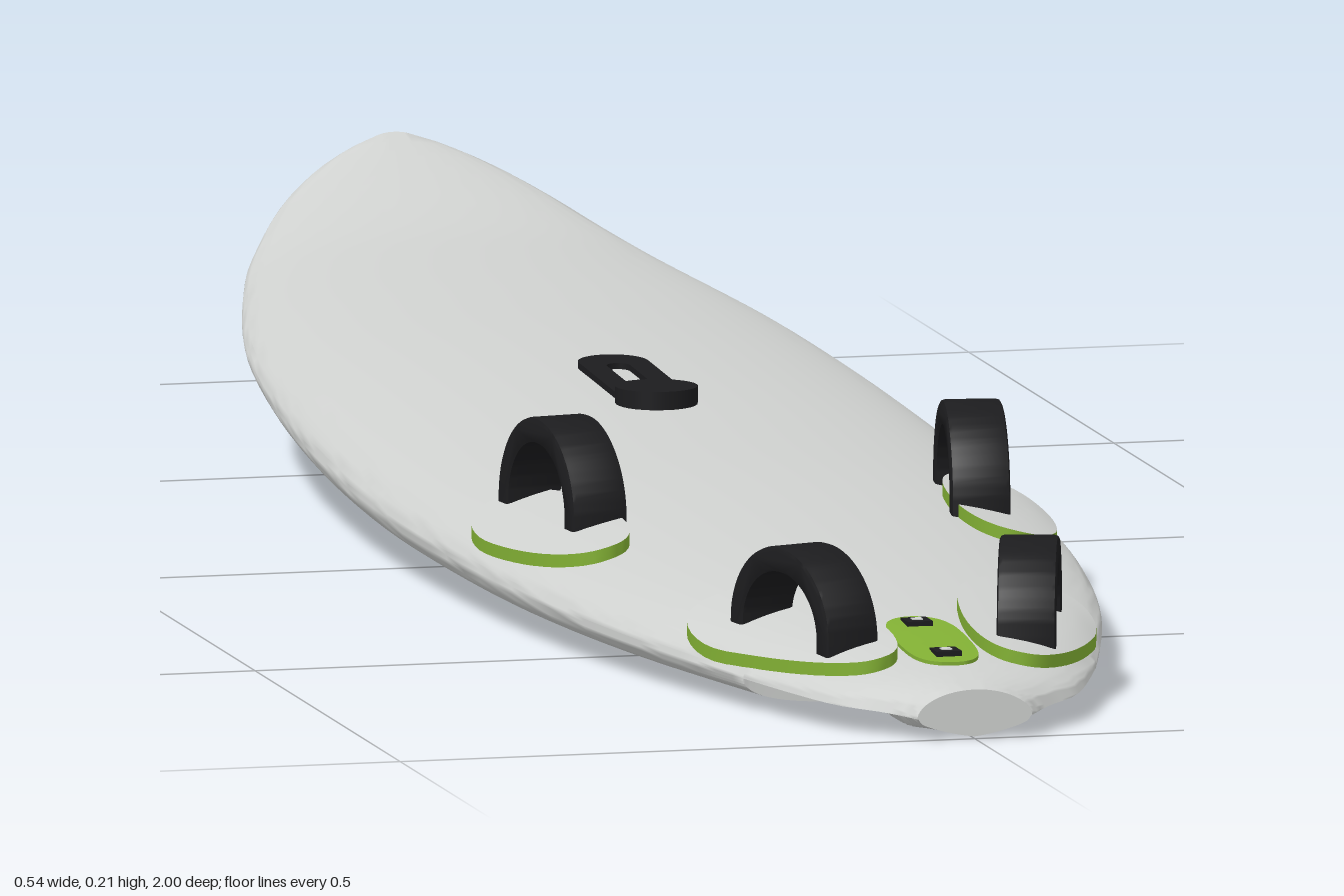
import * as THREE from 'three';
import { toCreasedNormals } from 'three/addons/utils/BufferGeometryUtils.js';

// Board stations: z, half width, deck centre height, bottom height
const STATIONS = [
  [-1, 0.02, 0.208, 0.196], [-0.99, 0.046, 0.204, 0.184], [-0.97, 0.077, 0.194, 0.17],
  [-0.93, 0.115, 0.178, 0.147], [-0.87, 0.15, 0.16, 0.122], [-0.8, 0.18, 0.148, 0.1],
  [-0.6, 0.231, 0.137, 0.064], [-0.4, 0.256, 0.13, 0.038], [-0.2, 0.268, 0.122, 0.02],
  [0, 0.271, 0.113, 0.01], [0.2, 0.263, 0.105, 0.005], [0.4, 0.245, 0.094, 0.003],
  [0.6, 0.211, 0.081, 0.003], [0.8, 0.157, 0.065, 0.003], [0.9, 0.121, 0.055, 0.003],
  [0.94, 0.1, 0.05, 0.003], [0.97, 0.072, 0.046, 0.003], [1, 0.05, 0.042, 0.002],
];
const CUT_Z = 0.81;

// Smooth interpolation of one station column
function sample(col, z) {
  const S = STATIONS, n = S.length;
  let i = 0;
  while (i < n - 2 && z > S[i + 1][0]) i++;
  const slope = (k) => {
    const a = S[Math.max(k - 1, 0)], b = S[Math.min(k + 1, n - 1)];
    return (b[col] - a[col]) / (b[0] - a[0]);
  };
  const d = S[i + 1][0] - S[i][0], t = THREE.MathUtils.clamp((z - S[i][0]) / d, 0, 1);
  const t2 = t * t, t3 = t2 * t;
  return (2 * t3 - 3 * t2 + 1) * S[i][col] + (t3 - 2 * t2 + t) * d * slope(i)
    + (3 * t2 - 2 * t3) * S[i + 1][col] + (t3 - t2) * d * slope(i + 1);
}

const railY = (z) => THREE.MathUtils.lerp(sample(3, z), sample(2, z), 0.41);

function deckY(x, z) {
  const u = Math.min(1, Math.abs(x) / sample(1, z)), m = railY(z);
  return m + (sample(2, z) - m) * Math.pow(1 - u * u, 0.55);
}

function bottomY(x, z) {
  const u = Math.min(1, Math.abs(x) / sample(1, z)), m = railY(z), b = sample(3, z);
  const p = THREE.MathUtils.lerp(6, 1.6, THREE.MathUtils.smoothstep(z, 0.92, 1));
  let y = m - (m - b - 0.004 * u) * Math.sqrt(1 - Math.pow(u, p));
  // tail cutaways either side of the fin box
  if (z > CUT_Z) y += 0.02 * THREE.MathUtils.smoothstep(Math.abs(x), 0.045, 0.065);
  return Math.min(y, m);
}

function geometryFrom(pos, idx) {
  const g = new THREE.BufferGeometry();
  g.setAttribute('position', new THREE.Float32BufferAttribute(pos, 3));
  g.setIndex(idx);
  return g;
}

function hullGeometry() {
  const zs = [];
  for (let i = 0; i <= 72; i++) zs.push(-Math.cos((Math.PI * i) / 72));
  zs.push(CUT_Z, CUT_Z + 0.001);
  zs.sort((a, b) => a - b);
  const half = 44, ring = half * 2, pos = [], idx = [];
  for (const z of zs) {
    for (let j = 0; j < ring; j++) {
      const x = Math.cos((Math.PI * j) / half) * sample(1, z);
      pos.push(x, j <= half ? deckY(x, z) : bottomY(x, z), z);
    }
  }
  const last = (zs.length - 1) * ring, nose = pos.length / 3, tail = nose + 1;
  pos.push(0, railY(-1), -1, 0, railY(1), 1);
  for (let j = 0; j < ring; j++) {
    const k = (j + 1) % ring;
    for (let i = 0; i < zs.length - 1; i++) {
      const a = i * ring + j, b = i * ring + k;
      idx.push(a, b, b + ring, a, b + ring, a + ring);
    }
    idx.push(nose, k, j, tail, last + j, last + k);
  }
  return toCreasedNormals(geometryFrom(pos, idx), 0.7);
}

// Pad that follows the deck; outline(a) gives [x, z], groups: 0 top, 1 edge
function padGeometry(cx, cz, outline, height) {
  const seg = 48, rings = 6, pos = [cx, deckY(cx, cz) + height, cz], idx = [];
  for (let r = 1; r <= rings + 1; r++) {
    const f = Math.min(r, rings) / rings;
    for (let j = 0; j < seg; j++) {
      const [ox, oz] = outline((j / seg) * Math.PI * 2);
      const x = cx + ox * f, z = cz + oz * f;
      pos.push(x, deckY(x, z) + (r > rings ? -0.004 : height), z);
    }
  }
  const at = (r, j) => 1 + (r - 1) * seg + (j % seg);
  for (let j = 0; j < seg; j++) idx.push(0, at(1, j + 1), at(1, j));
  for (let r = 1; r <= rings; r++) {
    for (let j = 0; j < seg; j++) {
      idx.push(at(r, j), at(r, j + 1), at(r + 1, j + 1), at(r, j), at(r + 1, j + 1), at(r + 1, j));
    }
  }
  const g = toCreasedNormals(geometryFrom(pos, idx), 0.6);
  const topCount = seg * 3 + (rings - 1) * seg * 6;
  g.addGroup(0, topCount, 0);
  g.addGroup(topCount, seg * 6, 1);
  return g;
}

// Rounded teardrop, wider toward the nose, turned by yaw
const teardrop = (halfW, halfL, taper, yaw) => (a) => {
  const round = (v) => Math.sign(v) * Math.pow(Math.abs(v), 0.85);
  const l = round(Math.sin(a)), w = round(Math.cos(a)) * halfW * (1 - taper * l);
  return [w * Math.cos(yaw) + l * halfL * Math.sin(yaw), l * halfL * Math.cos(yaw) - w * Math.sin(yaw)];
};

// Arched band lying in the XY plane, centred on its width
function strapGeometry(height) {
  const s = new THREE.Shape();
  s.moveTo(0.08, -0.018);
  s.lineTo(0.08, 0);
  s.absellipse(0, 0, 0.08, height, 0, Math.PI, false);
  s.lineTo(-0.08, -0.018);
  s.lineTo(-0.064, -0.018);
  s.lineTo(-0.064, 0);
  s.absellipse(0, 0, 0.064, height - 0.016, Math.PI, 0, true);
  s.lineTo(0.064, -0.018);
  const g = new THREE.ExtrudeGeometry(s, {
    depth: 0.042, curveSegments: 24, bevelSize: 0.003, bevelThickness: 0.004, bevelSegments: 2,
  });
  g.translate(0, 0, -0.021);
  return toCreasedNormals(g, 0.6);
}

// Long slot with round ends; y runs toward the nose
function stadium(path, r, y0, y1) {
  path.absarc(0, y0 + r, r, Math.PI, Math.PI * 2, false);
  path.absarc(0, y1 - r, r, 0, Math.PI, false);
  path.closePath();
  return path;
}

export function createModel() {
  const material = (name, color) => {
    const m = new THREE.MeshStandardMaterial({ color });
    m.name = name;
    return m;
  };
  const grey = material('light grey', 0xcfd1cf);
  const green = material('green', 0x82b034);
  const black = material('black', 0x1c1c1e);

  const root = new THREE.Group();
  root.name = 'sailboard';
  const add = (name, geometry, mat, x = 0, y = 0, z = 0) => {
    const mesh = new THREE.Mesh(geometry, mat);
    mesh.name = name;
    mesh.position.set(x, y, z);
    root.add(mesh);
    return mesh;
  };

  add('hull', hullGeometry(), grey);

  // Foot pads and straps, mirrored left and right
  const sets = [
    { name: 'front', x: 0.178, z: 0.285, yaw: -0.15, px: 0.195, pz: 0.32, w: 0.046, l: 0.122, taper: 0.1, h: 0.075 },
    { name: 'rear', x: 0.098, z: 0.8, yaw: -0.28, px: 0.098, pz: 0.785, w: 0.056, l: 0.138, taper: 0.25, h: 0.069 },
  ];
  for (const p of sets) {
    for (const [side, s] of [['Left', 1], ['Right', -1]]) {
      const outline = teardrop(p.w, p.l, p.taper, p.yaw * s);
      add(p.name + 'Pad' + side, padGeometry(p.px * s, p.pz, outline, 0.011), [grey, green]);
      const strap = add(p.name + 'Strap' + side, strapGeometry(p.h), black,
        p.x * s, deckY(p.x, p.z) + 0.01, p.z);
      strap.rotation.y = Math.PI / 2 + p.yaw * s;
    }
  }

  // Green tail plate with a waist, and its two plugs
  const waist = (a) => [0.039 * Math.cos(a) * (1 - 0.2 * Math.cos(a) ** 2),
    0.076 * Math.sign(Math.sin(a)) * Math.pow(Math.abs(Math.sin(a)), 0.75)];
  add('tailPlate', padGeometry(0, 0.853, waist, 0.003), [green, green]);
  for (const z of [0.8, 0.9]) {
    const y = deckY(0, z);
    add('plug', new THREE.BoxGeometry(0.022, 0.01, 0.024), black, 0, y + 0.001, z);
    add('plugCentre', new THREE.BoxGeometry(0.009, 0.004, 0.009), grey, 0, y + 0.005, z);
  }

  // Mast track: slotted plate and round base
  const track = stadium(new THREE.Shape(), 0.03, 0.065, 0.275);
  track.holes.push(stadium(new THREE.Path(), 0.01, 0.14, 0.238));
  const trackGeometry = new THREE.ExtrudeGeometry(track, { depth: 0.012, bevelEnabled: false, curveSegments: 16 });
  trackGeometry.rotateX(-Math.PI / 2);
  trackGeometry.translate(0, 0, 0.17);
  add('mastTrack', trackGeometry, black, 0, deckY(0, -0.17) - 0.007, -0.17).rotation.x = 0.045;
  add('mastBase', new THREE.CylinderGeometry(0.035, 0.035, 0.02, 32), black, 0, deckY(0, -0.097) + 0.004, -0.097);

  // Fin box under the tail
  add('finBox', new THREE.BoxGeometry(0.03, 0.012, 0.18), black, 0, 0.006, 0.85);
  return root;
}
